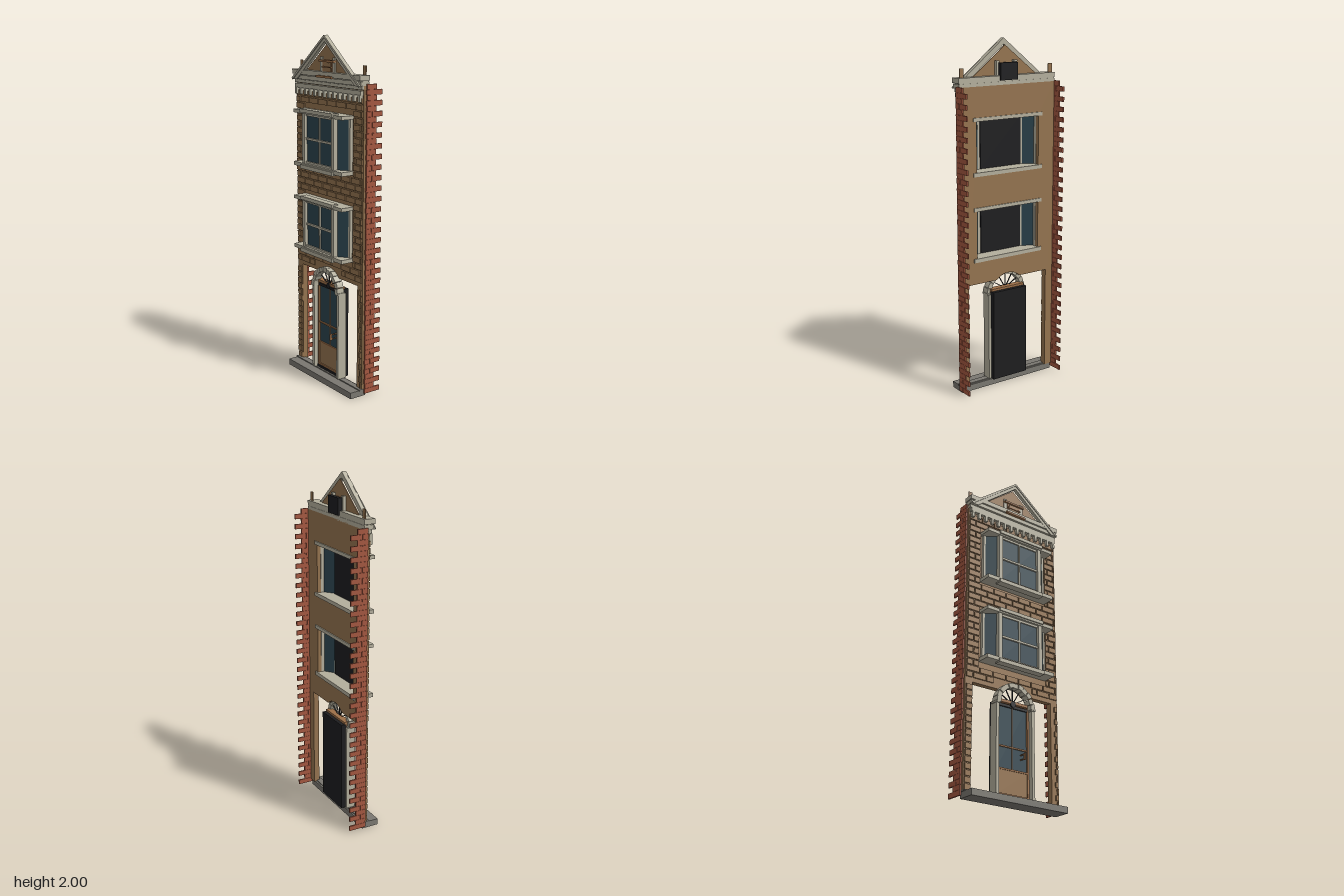
import * as THREE from 'three';
import { mergeGeometries } from 'three/addons/utils/BufferGeometryUtils.js';

const mat = (name, color) => {
  const m = new THREE.MeshStandardMaterial({ color });
  m.name = name;
  return m;
};

export function createModel() {
  const root = new THREE.Group();
  root.name = 'townHouseFacade';
  const brown = mat('brownBrick', 0x94734f);
  const red = mat('redBrick', 0xa35740);
  const stone = mat('paleStone', 0xb3ae9c);
  const grey = mat('greyStone', 0x7a7770);
  const glass = mat('blueGlass', 0x2b434d);
  const black = mat('blackBacking', 0x1d1d1f);
  const timber = mat('timber', 0x9c6f48);

  // Box given by its extents on each axis
  const boxGeo = (x0, x1, y0, y1, z0, z1) =>
    new THREE.BoxGeometry(x1 - x0, y1 - y0, z1 - z0)
      .translate((x0 + x1) / 2, (y0 + y1) / 2, (z0 + z1) / 2);
  const add = (parent, name, geo, m) => {
    const mesh = new THREE.Mesh(geo, m);
    mesh.name = name;
    parent.add(mesh);
    return mesh;
  };
  const box = (parent, name, m, ...e) => add(parent, name, boxGeo(...e), m);
  const pair = (parent, name, m, x0, x1, ...e) => {
    box(parent, name + 'Left', m, x0, x1, ...e);
    box(parent, name + 'Right', m, -x1, -x0, ...e);
  };
  const group = (name) => {
    const g = new THREE.Group();
    g.name = name;
    root.add(g);
    return g;
  };
  const extrude = (shape, z0, z1, curveSegments = 12) =>
    new THREE.ExtrudeGeometry(shape, { depth: z1 - z0, bevelEnabled: false, curveSegments })
      .translate(0, 0, z0);
  const poly = (pts) => new THREE.Shape(pts.map(([x, y]) => new THREE.Vector2(x, y)));

  const windows = [[0.76, 1.09], [1.25, 1.59]];
  const ARCH_Y = 0.555;

  // Wall with shop-front gap, arched notch and two window holes
  const wall = new THREE.Shape();
  wall.moveTo(-0.318, 0.035);
  wall.lineTo(-0.27, 0.035);
  wall.lineTo(-0.27, 0.64);
  wall.lineTo(-0.08, 0.64);
  wall.absarc(0, ARCH_Y, 0.117, Math.PI - 0.813, 0.813, true);
  wall.lineTo(0.27, 0.64);
  wall.lineTo(0.27, 0.035);
  wall.lineTo(0.318, 0.035);
  wall.lineTo(0.318, 1.75);
  wall.lineTo(-0.318, 1.75);
  wall.closePath();
  for (const [y0, y1] of windows) {
    wall.holes.push(poly([[-0.21, y0 + 0.02], [-0.21, y1 - 0.02], [0.21, y1 - 0.02], [0.21, y0 + 0.02]]));
  }
  add(root, 'wall', extrude(wall, -0.022, 0.012), brown);

  // Raised brick courses, broken around the openings
  const bricks = [];
  const pitch = 0.0365, len = 0.088;
  for (let row = 0; row < 45; row++) {
    const y0 = 0.045 + row * pitch, y1 = y0 + pitch - 0.007;
    let spans = [[-0.312, 0.312]];
    if (y1 < 0.64) spans = [[-0.312, -0.274], [0.294, 0.312]];
    else if (y0 < 0.64) continue;
    else if (y0 < 0.685) spans = [[-0.312, -0.135], [0.135, 0.312]];
    for (const [a, b] of windows) {
      if (y1 > a && y0 < b) spans = [[-0.312, -0.236], [0.236, 0.312]];
    }
    for (const [a, b] of spans) {
      for (let x = -0.4 + (row % 2) * len / 2; x < 0.4; x += len) {
        const l = Math.max(x, a), r = Math.min(x + len - 0.007, b);
        if (r - l > 0.008) bricks.push(boxGeo(l, r, y0, y1, 0.011, 0.02));
      }
    }
  }
  add(root, 'brickCourses', mergeGeometries(bricks), brown);

  // Toothed red brick returns along both sides
  const returns = [];
  const step = 1.74 / 60;
  for (const s of [-1, 1]) {
    for (let i = 0; i < 60; i++) {
      const y = 0.015 + i * step;
      const cuts = i % 2 ? [[-0.065, -0.002]] : [[-0.104, -0.037], [-0.035, 0]];
      for (const [z0, z1] of cuts) {
        returns.push(boxGeo(s * 0.3235 - 0.0045, s * 0.3235 + 0.0045, y, y + step - 0.001, z0, z1));
      }
    }
  }
  add(root, 'sideBrickReturns', mergeGeometries(returns), red);

  // Doorstep
  box(root, 'doorstep', grey, -0.315, 0.315, 0, 0.036, -0.015, 0.088);
  box(root, 'doorstepTread', grey, -0.32, 0.32, 0.034, 0.042, -0.005, 0.03);

  // Bay windows
  windows.forEach(([y0, y1], i) => {
    const g = group(i ? 'upperBayWindow' : 'lowerBayWindow');
    const b = y0 + 0.03, t = y1 - 0.028, m = (b + t) / 2;
    box(g, 'sill', stone, -0.233, 0.233, y0 + 0.008, b, -0.028, 0.095);
    box(g, 'sillLip', stone, -0.155, 0.155, y0, b - 0.008, 0.06, 0.104);
    box(g, 'lintel', stone, -0.233, 0.233, t, y1 - 0.008, -0.028, 0.095);
    box(g, 'lintelLip', stone, -0.155, 0.155, t + 0.008, y1, 0.06, 0.104);
    pair(g, 'frontPost', stone, 0.128, 0.153, b, t, 0.058, 0.09);
    pair(g, 'wallPost', stone, 0.208, 0.222, b, t, 0, 0.03);
    box(g, 'frontGlass', glass, -0.13, 0.13, b, t, 0.066, 0.072);
    box(g, 'blackBack', black, -0.138, 0.138, b + 0.002, t - 0.002, 0.052, 0.064);
    box(g, 'mullion', stone, -0.005, 0.005, b, t, 0.07, 0.08);
    box(g, 'transom', stone, -0.13, 0.13, m - 0.006, m + 0.006, 0.07, 0.082);
    box(g, 'topRail', stone, -0.13, 0.13, t - 0.012, t, 0.07, 0.08);
    box(g, 'bottomRail', stone, -0.13, 0.13, b, b + 0.012, 0.07, 0.08);
    for (const s of [-1, 1]) {
      const pane = add(g, 'cantedGlass', new THREE.BoxGeometry(0.085, t - b, 0.005), glass);
      pane.position.set(s * 0.181, m, 0.042);
      pane.rotation.y = s * Math.atan2(0.045, 0.065);
    }
  });

  // Door with glazing, rails and handle
  const door = group('door');
  box(door, 'blackBack', black, -0.115, 0.115, 0.042, 0.575, -0.042, -0.01);
  box(door, 'glazing', glass, -0.1, 0.1, 0.2, 0.565, -0.01, 0.004);
  box(door, 'lowerPanel', brown, -0.1, 0.1, 0.06, 0.2, -0.01, 0.008);
  pair(door, 'stile', timber, 0.1, 0.112, 0.05, 0.58, -0.01, 0.014);
  box(door, 'bottomRail', timber, -0.1, 0.1, 0.055, 0.066, -0.008, 0.014);
  box(door, 'threshold', black, -0.112, 0.112, 0.042, 0.055, -0.01, 0.02);
  box(door, 'panelRail', timber, -0.1, 0.1, 0.195, 0.204, -0.008, 0.012);
  box(door, 'middleRail', timber, -0.1, 0.1, 0.321, 0.329, -0.008, 0.012);
  box(door, 'mullion', timber, -0.002, 0.002, 0.2, 0.565, -0.008, 0.008);
  box(door, 'headRail', black, -0.1, 0.1, 0.55, 0.566, -0.008, 0.012);
  box(door, 'transom', timber, -0.112, 0.112, 0.572, 0.588, -0.02, 0.018);
  box(door, 'handle', timber, 0.056, 0.063, 0.262, 0.3, 0.035, 0.05);
  for (const y of [0.266, 0.292]) box(door, 'handleStem', timber, 0.057, 0.062, y, y + 0.005, 0, 0.037);

  // Stone door surround, arch blocks and fanlight bars
  const surround = group('doorSurround');
  pair(surround, 'jamb', stone, 0.111, 0.13, 0.042, ARCH_Y, -0.015, 0.04);
  pair(surround, 'impost', stone, 0.106, 0.134, 0.55, 0.562, -0.005, 0.046);
  const blocks = 11;
  for (let i = 0; i < blocks; i++) {
    const a0 = (i / blocks) * Math.PI + 0.012, a1 = ((i + 1) / blocks) * Math.PI - 0.012;
    const s = new THREE.Shape();
    s.absarc(0, ARCH_Y, 0.13, a0, a1, false);
    s.absarc(0, ARCH_Y, 0.103, a1, a0, true);
    add(surround, 'archBlock', extrude(s, 0, i % 2 ? 0.042 : 0.047, 3), stone);
  }
  for (let i = 1; i < 6; i++) {
    const bar = add(surround, 'fanlightBar', new THREE.BoxGeometry(0.004, 0.09, 0.006).translate(0, 0.045, 0), black);
    bar.position.set(0, 0.572, 0.01);
    bar.rotation.z = (i / 6 - 0.5) * Math.PI;
  }
  const hub = add(surround, 'fanlightHub', new THREE.CylinderGeometry(0.018, 0.018, 0.008, 12), black);
  hub.rotation.x = Math.PI / 2;
  hub.position.set(0, 0.572, 0.015);

  // Cornice bands and dentils
  const cornice = group('cornice');
  box(cornice, 'lowerBand', stone, -0.312, 0.312, 1.696, 1.72, 0.005, 0.032);
  box(cornice, 'middleBand', stone, -0.318, 0.318, 1.724, 1.742, 0, 0.026);
  box(cornice, 'upperBand', stone, -0.32, 0.32, 1.745, 1.768, -0.022, 0.036);
  box(cornice, 'topBand', stone, -0.322, 0.322, 1.772, 1.8, -0.022, 0.042);
  box(cornice, 'core', stone, -0.315, 0.315, 1.742, 1.775, -0.02, 0.02);
  for (let i = 0; i < 14; i++) {
    const x = -0.299 + i * 0.046;
    box(cornice, 'dentil', stone, x - 0.008, x + 0.008, 1.66, 1.697, 0.012, 0.035);
  }
  pair(cornice, 'endBlock', brown, 0.283, 0.309, 1.76, 1.85, -0.011, -0.006);

  // Gable with raking trim
  const gable = group('gable');
  add(gable, 'infill', extrude(poly([[-0.235, 1.78], [0.235, 1.78], [0, 1.963]]), 0.01, 0.015), brown);
  const rake = poly([[-0.322, 1.743], [-0.275, 1.743], [0, 1.965], [0.275, 1.743], [0.322, 1.743], [0, 2]]);
  add(gable, 'rake', extrude(rake, 0.021, 0.043), stone);
  add(gable, 'rakeEdge', extrude(poly([[-0.322, 1.748], [0, 2], [0.322, 1.748],
    [0.312, 1.74], [0, 1.986], [-0.312, 1.74]]), 0.043, 0.048), stone);

  // Small attic window
  const attic = group('atticWindow');
  box(attic, 'frame', timber, -0.045, 0.045, 1.785, 1.865, -0.006, 0.022);
  box(attic, 'blackBack', black, -0.057, 0.057, 1.775, 1.87, -0.032, -0.008);
  pair(attic, 'post', stone, 0.048, 0.07, 1.785, 1.88, -0.008, 0.022);
  box(attic, 'pane', brown, -0.032, 0.032, 1.805, 1.85, 0.022, 0.026);
  box(attic, 'head', timber, -0.07, 0.07, 1.853, 1.864, 0.015, 0.034);
  box(attic, 'middleBar', timber, -0.045, 0.045, 1.822, 1.829, 0.015, 0.032);
  box(attic, 'sill', timber, -0.07, 0.07, 1.768, 1.78, 0.02, 0.053);
  box(attic, 'sillBar', timber, -0.07, 0.07, 1.79, 1.8, 0.015, 0.034);

  return root;
}
